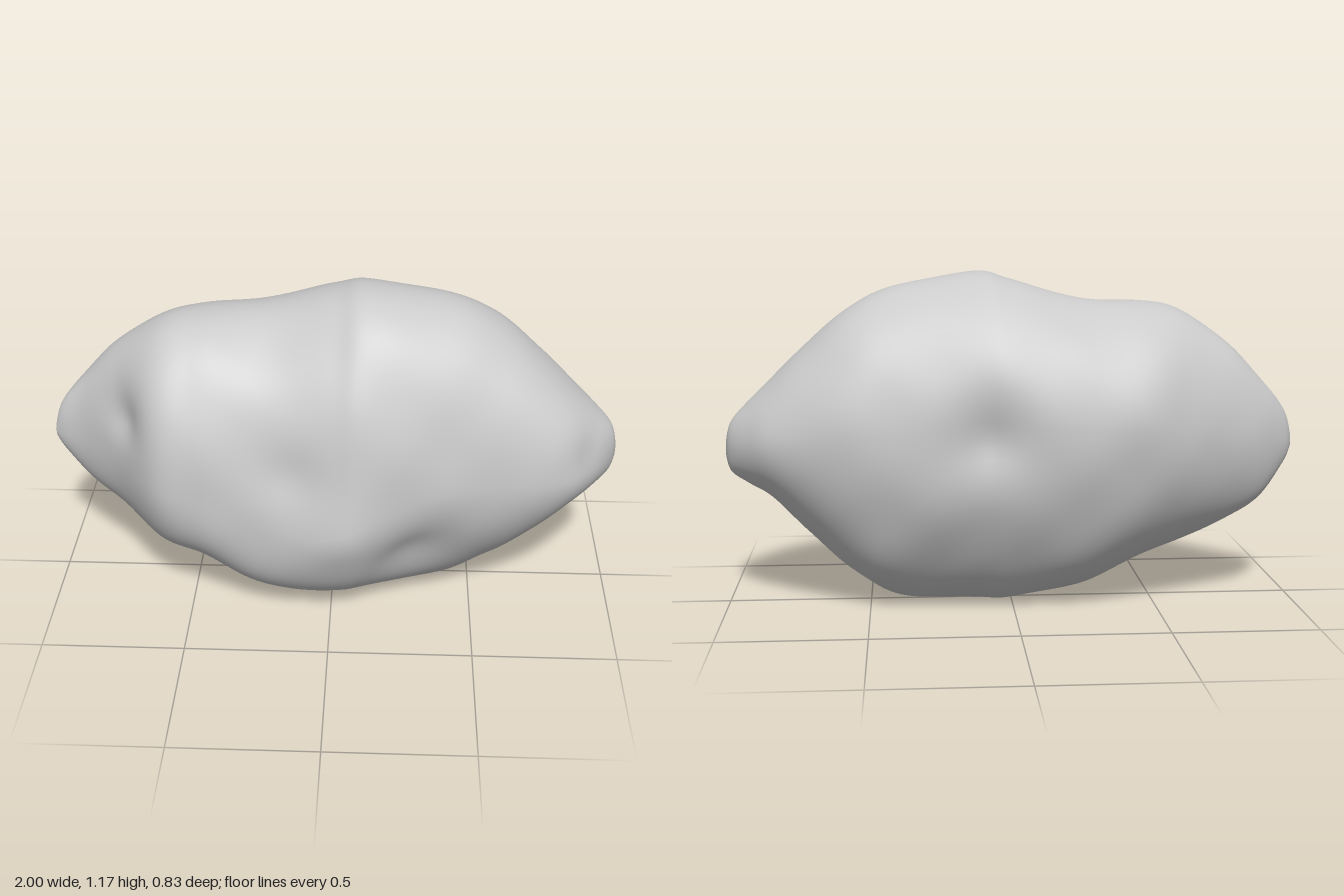
import * as THREE from 'three';

// Outline along x: x, top y, bottom y, front z, back z
const stations = [
  [-1.00, 0.59, 0.54, -0.02, -0.04],
  [-0.97, 0.68, 0.48, 0.00, -0.08],
  [-0.88, 0.79, 0.36, 0.05, -0.15],
  [-0.76, 0.92, 0.28, 0.15, -0.22],
  [-0.60, 1.03, 0.20, 0.33, -0.31],
  [-0.45, 1.065, 0.15, 0.365, -0.375],
  [-0.25, 1.075, 0.05, 0.375, -0.40],
  [0.00, 1.14, 0.005, 0.40, -0.405],
  [0.13, 1.17, 0.008, 0.40, -0.39],
  [0.40, 1.12, 0.02, 0.34, -0.36],
  [0.56, 1.05, 0.115, 0.31, -0.34],
  [0.72, 0.92, 0.26, 0.285, -0.29],
  [0.84, 0.80, 0.38, 0.24, -0.23],
  [0.92, 0.72, 0.43, 0.15, -0.15],
  [0.98, 0.65, 0.47, 0.06, -0.07],
  [1.00, 0.58, 0.52, 0.01, -0.01],
];

// Lumps and hollows: centre x, y, z, radius, push (negative = hollow)
const dents = [
  [0.08, 0.63, -0.38, 0.13, -0.045],
  [0.28, 0.45, -0.36, 0.16, 0.02],
  [0.27, 0.26, 0.30, 0.13, -0.035],
  [0.04, 0.40, 0.40, 0.11, 0.02],
  [-0.14, 0.62, 0.38, 0.12, -0.025],
  [-0.72, 0.74, 0.18, 0.09, -0.03],
  [-0.20, 1.02, 0.16, 0.14, -0.02],
  [0.84, 0.62, 0.18, 0.09, -0.02],
];

const bell = (x, centre, width) => Math.exp(-(((x - centre) / width) ** 2));

// Catmull-Rom blend of whole station rows
function stationAt(u) {
  const last = stations.length - 1;
  const i = Math.min(Math.floor(u), last - 1), t = u - i;
  const row = (k) => stations[Math.max(0, Math.min(last, k))];
  const [a, b, c, d] = [row(i - 1), row(i), row(i + 1), row(i + 2)];
  return b.map((v, k) => v + 0.5 * t * (c[k] - a[k]
    + t * (2 * a[k] - 5 * v + 4 * c[k] - d[k] + t * (3 * (v - c[k]) + d[k] - a[k]))));
}

// One point on a section: four superellipse quarters meeting at top, front, bottom and back.
// The front is widest low down near the middle, the back is widest high up.
function sectionPoint([x, top, bottom, front, back], angle) {
  const c = Math.cos(angle), n = Math.sin(angle);
  const isTop = c >= 0, isFront = n >= 0;
  const lowerFront = 2 + 0.6 * bell(x, -0.25, 0.25) - 0.35 * bell(x, 0.4, 0.25);
  const power = isFront ? (isTop ? 2.2 : lowerFront) : (isTop ? 1.95 : 1.85);
  const r = Math.pow(Math.pow(Math.abs(c), power) + Math.pow(Math.abs(n), power), -1 / power);
  const ySide = isFront ? 0.565 - 0.16 * bell(x, -0.1, 0.33) : 0.565 + 0.105 * (1 - x * x);
  const zMid = (front + back) / 2;
  const y = ySide + Math.abs(c) * r * ((isTop ? top : bottom) - ySide);
  const z = zMid + Math.abs(n) * r * ((isFront ? front : back) - zMid);
  return new THREE.Vector3(x, y, z);
}

// Push the surface in or out around each dent, with a faint overall waviness
function weather(p) {
  const out = p.clone().sub(new THREE.Vector3(p.x * 0.7, 0.58, 0)).normalize();
  let push = 0;
  for (const [x, y, z, radius, amount] of dents) {
    push += amount * bell(p.distanceTo(new THREE.Vector3(x, y, z)), 0, radius);
  }
  const fade = 1 - p.x ** 4;
  push += 0.004 * fade * Math.sin(9 * p.x + 5 * p.y) * Math.sin(8 * p.y - 7 * p.z + 1);
  push += 0.002 * fade * Math.sin(19 * p.x - 8 * p.z) * Math.sin(17 * p.y + 2);
  return p.addScaledVector(out, push);
}

function rockGeometry(rows, sides) {
  const positions = [], index = [];
  const last = stations.length - 1;
  for (let i = 0; i <= rows; i++) {
    const s = stationAt((i / rows) * last);
    for (let j = 0; j < sides; j++) {
      const p = weather(sectionPoint(s, (j / sides) * Math.PI * 2));
      positions.push(p.x, Math.max(0, p.y), p.z);
    }
  }
  for (let i = 0; i < rows; i++) {
    for (let j = 0; j < sides; j++) {
      const a = i * sides + j, b = i * sides + (j + 1) % sides;
      index.push(a, b, a + sides, b, b + sides, a + sides);
    }
  }
  // Close both tips with a small fan
  for (const row of [0, rows]) {
    const [x, top, bottom, front, back] = stations[row ? last : 0];
    const tip = positions.length / 3;
    positions.push(x, (top + bottom) / 2, (front + back) / 2);
    for (let j = 0; j < sides; j++) {
      const a = row * sides + j, b = row * sides + (j + 1) % sides;
      index.push(tip, row ? a : b, row ? b : a);
    }
  }
  const geometry = new THREE.BufferGeometry();
  geometry.setAttribute('position', new THREE.Float32BufferAttribute(positions, 3));
  geometry.setIndex(index);
  geometry.computeVertexNormals();
  return geometry;
}

export function createModel() {
  const group = new THREE.Group();
  group.name = 'asteroid';
  const rock = new THREE.Mesh(rockGeometry(144, 112), new THREE.MeshStandardMaterial({ color: 0xcccccc }));
  rock.name = 'rockBody';
  group.add(rock);
  return group;
}
